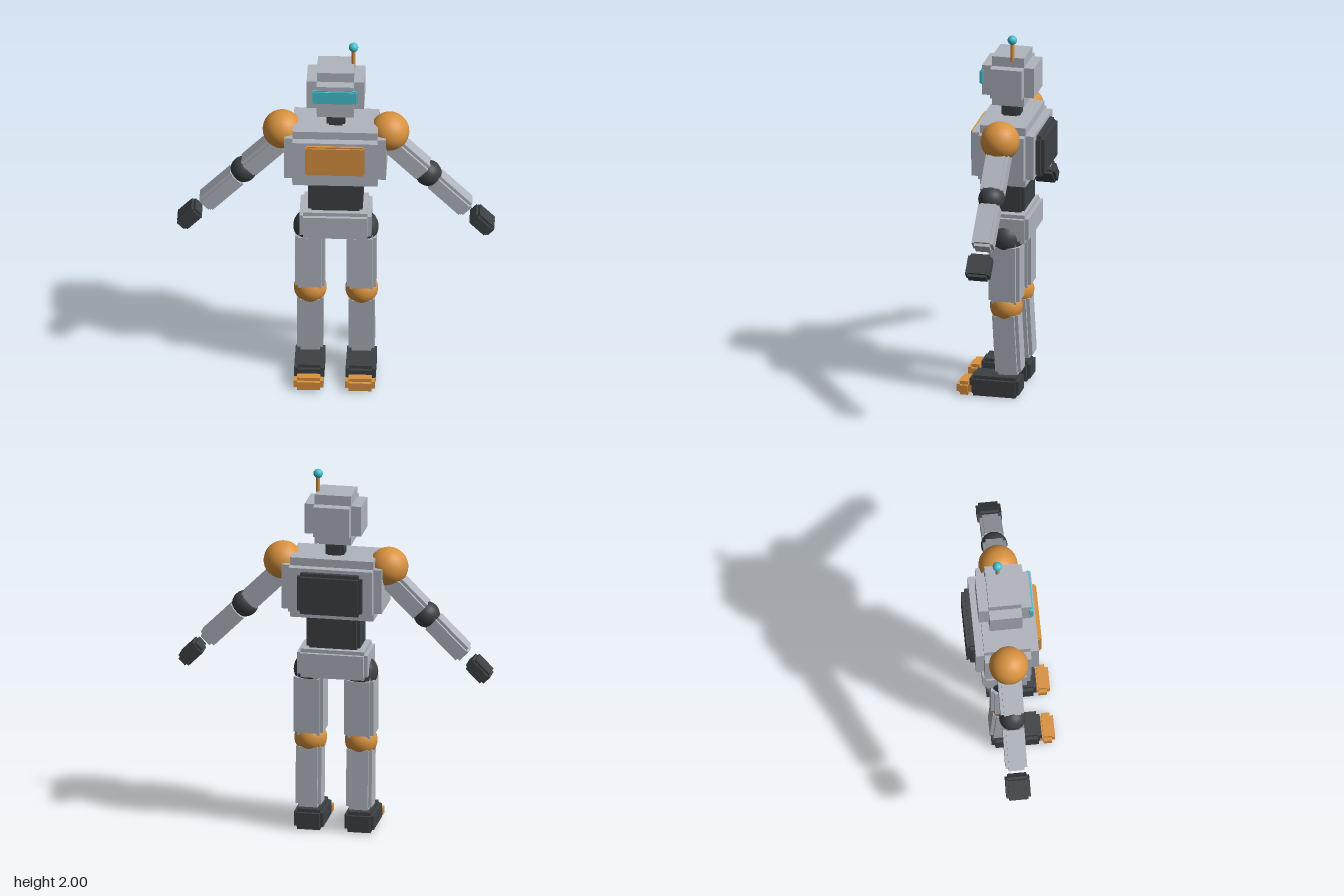
import * as THREE from 'three';
import { mergeGeometries } from 'three/addons/utils/BufferGeometryUtils.js';

const paint = (name, color) => {
  const m = new THREE.MeshStandardMaterial({ color });
  m.name = name;
  return m;
};

// Box with stepped edges: a core with a raised plate on each face
function steppedBox(w, h, d, inset) {
  const i = inset * 2;
  return mergeGeometries([
    new THREE.BoxGeometry(w, h - i, d - i),
    new THREE.BoxGeometry(w - i, h, d - i),
    new THREE.BoxGeometry(w - i, h - i, d),
  ]);
}

export function createModel() {
  const grey = paint('shell grey', 0xb0b4be);
  const dark = paint('joint charcoal', 0x3d4144);
  const orange = paint('accent orange', 0xd9923f);
  const teal = paint('light teal', 0x45c1d0);

  const Z = -0.025; // depth of the body's centre line
  const robot = new THREE.Group();
  robot.name = 'robot';

  const add = (parent, name, geometry, material, x, y, z) => {
    const mesh = new THREE.Mesh(geometry, material);
    mesh.name = name;
    mesh.position.set(x, y, z);
    parent.add(mesh);
    return mesh;
  };
  const block = (parent, name, material, [w, h, d], inset, [x, y, z]) =>
    add(parent, name, steppedBox(w, h, d, inset), material, x, y, z);
  const ball = (parent, name, material, r, [x, y, z]) =>
    add(parent, name, new THREE.SphereGeometry(r, 28, 18), material, x, y, z);

  // Head
  block(robot, 'head', grey, [0.304, 0.273, 0.281], 0.054, [0, 1.742, Z]);
  block(robot, 'visor', teal, [0.238, 0.08, 0.02], 0.006, [0, 1.762, 0.115]);
  add(robot, 'antenna', new THREE.CylinderGeometry(0.011, 0.011, 0.12, 12), orange, 0.092, 1.915, -0.047);
  ball(robot, 'antennaTip', teal, 0.025, [0.092, 1.975, -0.047]);
  block(robot, 'neck', dark, [0.1, 0.11, 0.1], 0.015, [0, 1.555, Z]);

  // Trunk
  block(robot, 'torso', grey, [0.538, 0.331, 0.335], 0.044, [0, 1.368, Z]);
  block(robot, 'chestPanel', orange, [0.316, 0.175, 0.03], 0.008, [0, 1.388, 0.149]);
  block(robot, 'backPack', dark, [0.348, 0.227, 0.08], 0.018, [0, 1.357, -0.195]);
  block(robot, 'abdomen', dark, [0.288, 0.2, 0.19], 0.017, [0, 1.115, Z]);
  block(robot, 'pelvis', grey, [0.38, 0.159, 0.254], 0.02, [0, 0.943, Z]);

  for (const s of [1, -1]) {
    const side = s > 0 ? 'left' : 'right';

    // Leg
    const x = s * 0.136;
    const leg = new THREE.Group();
    leg.name = side + 'Leg';
    robot.add(leg);
    ball(leg, 'hipJoint', dark, 0.09, [x, 0.88, Z]);
    block(leg, 'thigh', grey, [0.158, 0.34, 0.168], 0.018, [x, 0.697, Z]);
    ball(leg, 'kneeJoint', orange, 0.087, [x, 0.5, Z]);
    const shin = block(leg, 'shin', grey, [0.138, 0.35, 0.14], 0.018, [x, 0.303, -0.037]);
    shin.rotation.x = 0.055;
    block(leg, 'foot', dark, [0.158, 0.113, 0.266], 0.018, [x, 0.0585, 0.027]);
    block(leg, 'toeCap', orange, [0.158, 0.075, 0.08], 0.018, [x, 0.0395, 0.191]);

    // Arm, hanging outward at 45 degrees; its origin is the elbow
    ball(robot, side + 'Shoulder', orange, 0.104, [s * 0.284, 1.474, Z]);
    const arm = new THREE.Group();
    arm.name = side + 'Arm';
    arm.position.set(s * 0.488, 1.22, Z);
    arm.rotation.z = s * Math.PI / 4;
    robot.add(arm);
    block(arm, 'upperArm', grey, [0.11, 0.26, 0.125], 0.017, [0, 0.15, 0]);
    ball(arm, 'elbowJoint', dark, 0.07, [0, 0, 0]);
    block(arm, 'forearm', grey, [0.1, 0.26, 0.115], 0.016, [0, -0.165, 0]);
    block(arm, 'hand', dark, [0.078, 0.135, 0.13], 0.014, [0, -0.403, 0]);
  }
  return robot;
}
